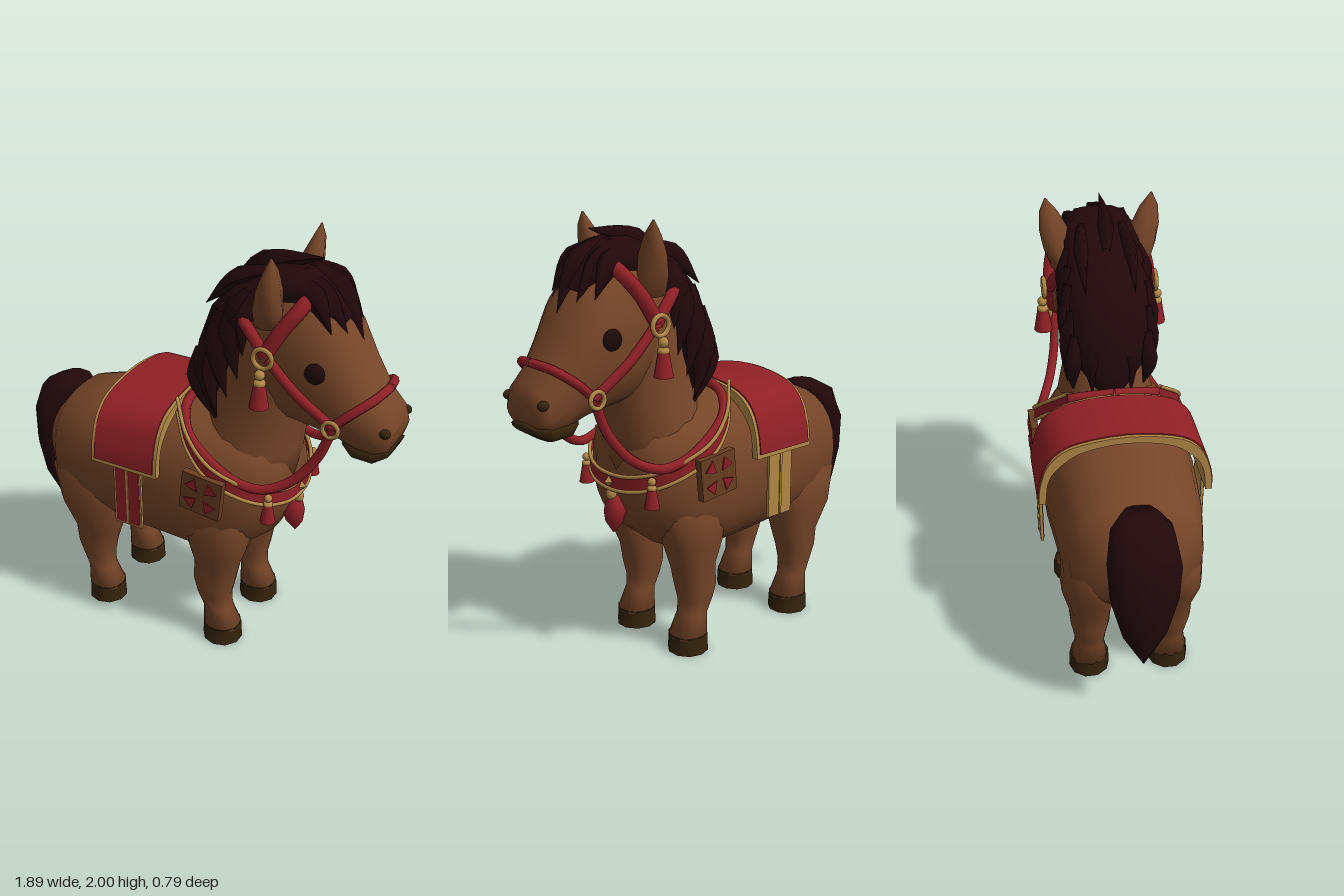
import * as THREE from 'three';
import { toCreasedNormals } from 'three/addons/utils/BufferGeometryUtils.js';

const mat = (name, color) => Object.assign(new THREE.MeshStandardMaterial({ color, side: THREE.DoubleSide }), { name });
const V = (p) => new THREE.Vector3(...p);
const spline = (pts) => new THREE.CatmullRomCurve3(pts.map(V));
const flip = (pts) => pts.map(([x, y, z]) => [x, y, -z]);

// Rings are [xTop, yTop, xBottom, yBottom, halfWidth, zCentre], "top" lying to the left of travel
function loft(rings, seg = 18, pow = 0.9) {
  const pos = [], idx = [];
  const bend = (v) => Math.sign(v) * Math.abs(v) ** pow;
  for (const [xt, yt, xb, yb, rz, cz = 0] of rings)
    for (let j = 0; j < seg; j++) {
      const t = (j / seg) * Math.PI * 2, c = bend(Math.cos(t)) / 2;
      pos.push((xt + xb) / 2 + (xt - xb) * c, (yt + yb) / 2 + (yt - yb) * c, cz + rz * bend(Math.sin(t)));
    }
  const n = rings.length, first = n * seg;
  for (const [xt, yt, xb, yb, , cz = 0] of [rings[0], rings[n - 1]]) pos.push((xt + xb) / 2, (yt + yb) / 2, cz);
  for (let j = 0; j < seg; j++) {
    const k = (j + 1) % seg, e = (n - 1) * seg;
    for (let i = 0; i < n - 1; i++) {
      const a = i * seg + j, b = i * seg + k;
      idx.push(a, b, a + seg, b, b + seg, a + seg);
    }
    idx.push(first, k, j, first + 1, e + j, e + k);
  }
  const g = new THREE.BufferGeometry();
  g.setAttribute('position', new THREE.Float32BufferAttribute(pos, 3));
  g.setIndex(idx);
  g.computeVertexNormals();
  return g;
}

// Upright rings from [y, xCentre, rx, rz, zCentre]
const upright = (rows) => rows.map(([y, x, rx, rz, z]) => [x - rx, y, x + rx, y, rz, z]);
const tube = (pts, r, n = 28) => new THREE.TubeGeometry(spline(pts), n, r, 8);

// Tapered lock of hair along a curve
function lock(pts, r) {
  const c = spline(pts), n = 8, g = new THREE.TubeGeometry(c, n, 1, 6), p = g.attributes.position, v = new THREE.Vector3();
  for (let i = 0; i < p.count; i++) {
    const t = Math.floor(i / 7) / n, o = c.getPointAt(t);
    const k = r * (t < 0.4 ? 0.6 + t : 1.667 * (1 - t)) + 0.001;
    v.fromBufferAttribute(p, i).sub(o).multiplyScalar(k);
    p.setXYZ(i, o.x + v.x, o.y + v.y, o.z + v.z * 0.6);
  }
  g.computeVertexNormals();
  return g;
}

// Curved sheet draped over the back
function drape(x0, x1, out, thick, yLow) {
  const arc = [[0.375, yLow], [0.362, 1.03], [0.315, 1.125], [0.21, 1.195], [0, 1.225]];
  const line = (o) => {
    const half = arc.map(([z, y], i) => [z + (i < 4 ? o : 0), y + (i > 1 ? o : 0)]);
    return new THREE.SplineCurve([...half, ...half.slice(0, 4).reverse().map(([z, y]) => [-z, y])].map((p) => new THREE.Vector2(...p))).getPoints(28);
  };
  const s = new THREE.Shape([...line(out), ...line(out - thick).reverse()]);
  const g = new THREE.ExtrudeGeometry(s, { depth: x1 - x0, bevelEnabled: false });
  g.rotateY(Math.PI / 2).translate(x0, 0, 0);
  return toCreasedNormals(g, 0.6);
}

export function createModel() {
  const root = new THREE.Group();
  const coat = mat('brown coat', 0x764629), hair = mat('dark hair', 0x22080b), red = mat('red cloth', 0x8f2026);
  const gold = mat('gold trim', 0xb08746), dark = mat('dark hoof', 0x35240c), eyeMat = mat('dark eye', 0x1e0a0a);
  const leather = mat('pouch leather', 0x693d21);
  const add = (name, g, m, p = [0, 0, 0], s = [1, 1, 1]) => {
    const o = new THREE.Mesh(g, m);
    o.name = name;
    o.position.set(...p);
    o.scale.set(...s);
    root.add(o);
    return o;
  };
  const ball = new THREE.SphereGeometry(1, 14, 10);

  // Body, neck and head
  add('body', loft([[-0.765, 0.98, -0.765, 0.64, 0.19], [-0.67, 1.09, -0.67, 0.54, 0.29], [-0.5, 1.14, -0.5, 0.48, 0.325],
    [-0.2, 1.19, -0.2, 0.46, 0.35], [0.05, 1.2, 0.05, 0.445, 0.35], [0.25, 1.18, 0.25, 0.49, 0.325],
    [0.39, 1.13, 0.39, 0.6, 0.26], [0.455, 1.02, 0.455, 0.74, 0.15]], 24, 0.85), coat);
  add('neck', loft(upright([[0.85, 0.2, 0.25, 0.27], [1.05, 0.23, 0.245, 0.24], [1.2, 0.28, 0.215, 0.2],
    [1.4, 0.33, 0.2, 0.19], [1.6, 0.38, 0.2, 0.19], [1.75, 0.42, 0.14, 0.15]])), coat);
  add('head', loft([[0.22, 1.7, 0.24, 1.4, 0.1], [0.3, 1.82, 0.32, 1.28, 0.18], [0.45, 1.87, 0.44, 1.21, 0.21],
    [0.6, 1.82, 0.54, 1.2, 0.22], [0.7, 1.71, 0.64, 1.185, 0.205], [0.78, 1.56, 0.7, 1.17, 0.18],
    [0.86, 1.43, 0.77, 1.14, 0.157], [0.925, 1.36, 0.85, 1.13, 0.145], [0.945, 1.29, 0.915, 1.17, 0.11]], 22), coat);
  add('mouth', loft([[0.71, 1.19, 0.71, 1.155, 0.085], [0.78, 1.205, 0.77, 1.122, 0.138],
    [0.87, 1.205, 0.86, 1.115, 0.136], [0.932, 1.195, 0.915, 1.15, 0.095]], 14, 0.75), dark);

  // Paired parts
  const front = [[0.075, 0.2, 0.09, 0.087, 0.19], [0.18, 0.175, 0.068, 0.068, 0.19], [0.25, 0.155, 0.085, 0.074, 0.19],
    [0.32, 0.155, 0.1, 0.09, 0.19], [0.42, 0.165, 0.11, 0.093, 0.185], [0.54, 0.175, 0.145, 0.12, 0.195],
    [0.7, 0.17, 0.18, 0.128, 0.19], [0.88, 0.15, 0.12, 0.08, 0.17]];
  const hind = [[0.075, -0.47, 0.09, 0.087, 0.19], [0.18, -0.495, 0.068, 0.068, 0.19], [0.25, -0.51, 0.08, 0.074, 0.19],
    [0.33, -0.515, 0.1, 0.09, 0.19], [0.42, -0.505, 0.12, 0.098, 0.188], [0.56, -0.52, 0.175, 0.13, 0.19],
    [0.72, -0.53, 0.215, 0.138, 0.175], [0.9, -0.53, 0.14, 0.08, 0.17]];
  const hoof = toCreasedNormals(new THREE.CylinderGeometry(0.092, 0.096, 0.085, 10), 0.7);
  const tassel = (x, y, z, s) => { // hung below its bead at y
    add('tasselBead', ball, gold, [x, y, z], [0.022 * s, 0.022 * s, 0.022 * s]);
    add('tasselCollar', ball, gold, [x, y - 0.035 * s, z], [0.026 * s, 0.018 * s, 0.026 * s]);
    add('tassel', new THREE.CylinderGeometry(0.024 * s, 0.042 * s, 0.1 * s, 10), red, [x, y - 0.09 * s, z]);
  };
  for (const k of [1, -1]) {
    const side = (pts) => (k > 0 ? pts : flip(pts));
    const mir = (rows) => rows.map(([y, x, rx, rz, z]) => [y, x, rx, rz, z * k]);
    add('frontLeg', loft(upright(mir(front)), 14), coat);
    add('hindLeg', loft(upright(mir(hind)), 14), coat);
    for (const x of [0.2, -0.47]) add('hoof', hoof, dark, [x, 0.0425, 0.19 * k]);
    add('ear', loft(upright(mir([[1.68, 0.39, 0.065, 0.045, 0.18], [1.77, 0.395, 0.066, 0.062, 0.195],
      [1.86, 0.405, 0.05, 0.066, 0.208], [1.94, 0.42, 0.028, 0.042, 0.228], [2, 0.425, 0.003, 0.004, 0.24]])), 8), coat);
    add('eye', ball, eyeMat, [0.62, 1.53, 0.207 * k], [0.046, 0.046, 0.024]);
    add('nostril', ball, dark, [0.91, 1.29, 0.125 * k], [0.026, 0.022, 0.02]);

    // Bridle and reins
    add('cheekStrap', tube(side([[0.42, 1.56, 0.235], [0.55, 1.43, 0.228], [0.705, 1.295, 0.188]]), 0.022), red);
    add('browStrap', tube(side([[0.41, 1.58, 0.235], [0.47, 1.69, 0.215], [0.53, 1.78, 0.17], [0.55, 1.84, 0.06]]), 0.033), red);
    add('neckStrap', tube(side([[0.41, 1.57, 0.235], [0.3, 1.68, 0.205], [0.22, 1.72, 0.15]]), 0.026), red);
    add('noseband', tube(side([[0.705, 1.3, 0.188], [0.78, 1.37, 0.172], [0.85, 1.425, 0.11], [0.875, 1.44, 0]]), 0.02), red);
    add('rein', tube(side([[0.705, 1.28, 0.195], [0.65, 1.14, 0.2], [0.55, 1.01, 0.235], [0.43, 0.955, 0.28],
      [0.32, 0.975, 0.305], [0.2, 1.04, 0.31], [0.07, 1.14, 0.28], [0, 1.21, 0.18], [-0.025, 1.235, 0]]), 0.022, 48), red);
    add('templeRing', new THREE.TorusGeometry(0.043, 0.011, 8, 18), gold, [0.41, 1.57, 0.262 * k]);
    add('bitRing', new THREE.TorusGeometry(0.035, 0.01, 8, 18), gold, [0.705, 1.295, 0.212 * k]);
    tassel(0.405, 1.5, 0.272 * k, 1.05);
    tassel(0.445, 0.89, 0.235 * k, 0.85);

    // Saddle strap
    add('saddleStrap', new THREE.BoxGeometry(0.145, 0.33, 0.014), gold, [-0.2, 0.785, 0.372 * k]);
    for (const x of [-0.235, -0.165]) add('strapStripe', new THREE.BoxGeometry(0.056, 0.31, 0.008), red, [x, 0.785, 0.372 * k + 0.006]);
    add('strapSeam', new THREE.BoxGeometry(0.012, 0.32, 0.008), gold, [-0.2, 0.785, 0.38 * k]);

    // Pouch with petal pattern
    add('pouch', new THREE.BoxGeometry(0.2, 0.19, 0.035), leather, [0.18, 0.895, 0.357 * k]).rotation.z = -0.1;
    for (let i = 0; i < 4; i++) {
      const a = Math.PI / 4 + (i * Math.PI) / 2 - 0.1;
      add('pouchPetal', new THREE.CylinderGeometry(0.036, 0.036, 0.008, 3).rotateX(Math.PI / 2).rotateZ(a - Math.PI / 2), red,
        [0.18 + 0.062 * Math.cos(a), 0.895 + 0.062 * Math.sin(a), 0.377 * k]);
    }

    // Side locks of the mane
    [[[0.08, 1.5, 0.16], [0.07, 1.35, 0.175], [0.15, 1.16, 0.165]], [[0.13, 1.6, 0.17], [0.11, 1.4, 0.19], [0.16, 1.2, 0.19]],
      [[0.18, 1.7, 0.17], [0.16, 1.5, 0.195], [0.21, 1.31, 0.195]], [[0.24, 1.76, 0.16], [0.22, 1.58, 0.19], [0.26, 1.41, 0.195]],
      [[0.3, 1.8, 0.15], [0.26, 1.7, 0.18], [0.285, 1.53, 0.2]], [[0.09, 1.48, 0.08], [0.06, 1.35, 0.09], [0.03, 1.2, 0.09]],
      [[0.48, 1.87, 0.09], [0.58, 1.81, 0.13], [0.66, 1.69, 0.15]], [[0.48, 1.89, 0.05], [0.61, 1.8, 0.08], [0.71, 1.66, 0.085]],
      [[0.35, 1.88, 0.09], [0.2, 1.82, 0.11], [0.06, 1.69, 0.11]],
    ].forEach((pts, i) => add('maneLock', lock(side(pts), i < 6 ? 0.07 : 0.055), hair));
  }

  // Mane, forelock and tail
  add('mane', loft([[0.02, 1.2, 0.12, 1.2, 0.06], [0, 1.32, 0.17, 1.35, 0.15], [0.005, 1.5, 0.24, 1.48, 0.195],
    [0.07, 1.68, 0.3, 1.6, 0.2], [0.2, 1.84, 0.34, 1.66, 0.185], [0.38, 1.915, 0.42, 1.72, 0.165],
    [0.52, 1.915, 0.5, 1.75, 0.155], [0.62, 1.855, 0.56, 1.73, 0.14], [0.7, 1.74, 0.66, 1.68, 0.08]], 14), hair);
  add('forelock', lock([[0.48, 1.89, 0], [0.63, 1.8, 0], [0.745, 1.62, 0]], 0.08), hair);
  add('crestLock', lock([[0.2, 1.82, 0], [0.36, 1.905, 0.02], [0.56, 1.955, 0.02]], 0.06), hair);
  add('tail', loft([[-0.875, 0.38, -0.865, 0.38, 0.005], [-0.93, 0.56, -0.79, 0.56, 0.1], [-0.945, 0.75, -0.755, 0.75, 0.15],
    [-0.94, 0.92, -0.75, 0.92, 0.16], [-0.9, 1.05, -0.68, 1.05, 0.135], [-0.81, 1.1, -0.66, 1.09, 0.08]], 10), hair);

  // Saddle blanket
  add('blanketTrim', drape(-0.385, -0.04, 0.014, 0.032, 0.92), gold);
  add('blanket', drape(-0.368, -0.057, 0.019, 0.009, 0.94), red);

  // Breast collar, hugging the chest
  const half = [[-0.03, 1.22, 0.21], [0.08, 1.11, 0.315], [0.2, 1.01, 0.348], [0.33, 0.94, 0.318], [0.425, 0.885, 0.235], [0.482, 0.855, 0.12]];
  const path = [...half, [0.495, 0.845, 0], ...flip(half).reverse()];
  const curve = spline(path), band = new THREE.PlaneGeometry(1, 0.07, 48, 1), bp = band.attributes.position;
  for (let i = 0; i < bp.count; i++) {
    const c = curve.getPoint(bp.getX(i) + 0.5);
    bp.setXYZ(i, c.x, c.y + bp.getY(i), c.z);
  }
  band.computeVertexNormals();
  add('breastCollar', band, red);
  for (const o of [0.035, -0.035]) add('collarTrim', tube(path.map(([x, y, z]) => [x, y + o, z]), 0.009, 64), gold);
  add('collarStud', new THREE.OctahedronGeometry(0.025), gold, [0.497, 0.845, 0]);
  add('chestBead', ball, gold, [0.485, 0.785, 0], [0.025, 0.03, 0.025]);
  add('chestTassel', loft(upright([[0.6, 0.475, 0.005, 0.005], [0.65, 0.47, 0.04, 0.04], [0.7, 0.465, 0.05, 0.05],
    [0.74, 0.465, 0.042, 0.042], [0.78, 0.475, 0.015, 0.015]]), 10), red);
  return root;
}
